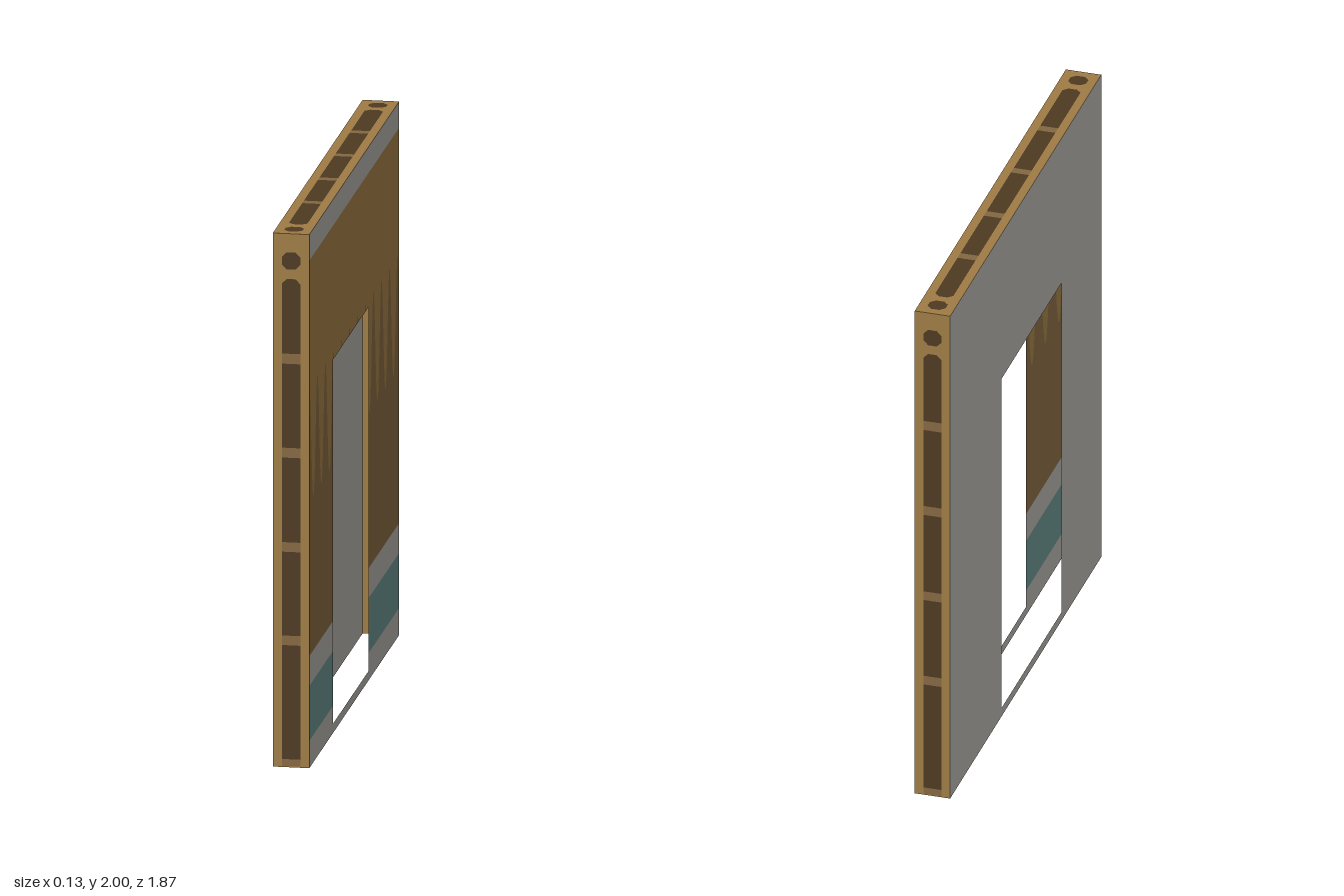
import * as THREE from 'three';

const HX = 0.067, HZ = 0.935, H = 2;          // half thickness, half width, height
const DOOR = { u0: -0.44, u1: 0.30, y0: 0.035, y1: 1.4 }; // u runs along -z
const SLOT = 0.034;                           // half width of the dark slots

function mat(name, color) {
  const m = new THREE.MeshStandardMaterial({ color, side: THREE.DoubleSide });
  m.name = name;
  return m;
}

function polygon(points) {
  return new THREE.Shape(points.map(([x, y]) => new THREE.Vector2(x, y)));
}

const rect = (x0, y0, x1, y1) => polygon([[x0, y0], [x1, y0], [x1, y1], [x0, y1]]);

// Slot outline with optional chamfers at its lower and upper ends
function slotShape(y0, y1, cutLow, cutHigh) {
  const a = cutLow ? 0.018 : 0, b = cutHigh ? 0.018 : 0, w = SLOT;
  const pts = [];
  if (a) pts.push([-w, y0 + a], [-w + a, y0], [w - a, y0], [w, y0 + a]);
  else pts.push([-w, y0], [w, y0]);
  if (b) pts.push([w, y1 - b], [w - b, y1], [-w + b, y1], [-w, y1 - b]);
  else pts.push([w, y1], [-w, y1]);
  return polygon(pts);
}

// Flat strip between two height functions, sampled along u
function strip(u0, u1, low, high, steps) {
  const pos = [], normal = [], index = [];
  for (let i = 0; i <= steps; i++) {
    const u = u0 + (u1 - u0) * i / steps;
    pos.push(u, low(u), 0, u, high(u), 0);
    normal.push(0, 0, 1, 0, 0, 1);
    if (i < steps) {
      const k = i * 2;
      index.push(k, k + 2, k + 3, k, k + 3, k + 1);
    }
  }
  const g = new THREE.BufferGeometry();
  g.setAttribute('position', new THREE.Float32BufferAttribute(pos, 3));
  g.setAttribute('normal', new THREE.Float32BufferAttribute(normal, 3));
  g.setIndex(index);
  return g;
}

export function createModel() {
  const gold = mat('goldWood', 0xa07d45);
  const brown = mat('brownWood', 0x856842);
  const grey = mat('greyPlaster', 0xb0ada7);
  const teal = mat('tealStripe', 0x678f8c);
  const dark = mat('darkSlot', 0x4f3a22);

  const model = new THREE.Group();
  model.name = 'doorwayWall';

  function add(parent, name, geometry, material) {
    const mesh = new THREE.Mesh(geometry, material);
    mesh.name = name;
    parent.add(mesh);
  }

  // Edge face: wooden frame with a row of dark slots, bars and round end holes
  function edgeFace(name, v0, v1, slots, rounds, barLow) {
    const group = new THREE.Group();
    group.name = name;
    const first = slots[0][0], last = slots[slots.length - 1][1];
    const channel = slotShape(barLow ?? first, last, barLow === undefined, true);
    const frame = rect(-HX, v0, HX, v1);
    frame.holes.push(channel);
    slots.forEach(([a, b], i) => {
      const low = i === 0 && barLow === undefined, high = i === slots.length - 1;
      add(group, 'slot', new THREE.ShapeGeometry(slotShape(a, b, low, high)), dark);
      const below = i ? slots[i - 1][1] : barLow;
      if (below !== undefined) add(group, 'bar', new THREE.ShapeGeometry(slotShape(below, a)), brown);
    });
    for (const c of rounds) {
      const hole = slotShape(c - 0.032, c + 0.032, true, true);
      frame.holes.push(hole);
      add(group, 'roundHole', new THREE.ShapeGeometry(hole), dark);
    }
    add(group, 'frame', new THREE.ShapeGeometry(frame), gold);
    model.add(group);
    return group;
  }

  // Front and back edges
  const endSlots = [[0.03, 0.457], [0.493, 0.807], [0.843, 1.16], [1.197, 1.512], [1.55, 1.83]];
  for (const side of [1, -1]) {
    const end = edgeFace(side > 0 ? 'frontEdge' : 'backEdge', 0, H, endSlots, [1.898], 0.004);
    end.position.z = side * HZ;
    if (side < 0) end.rotation.y = Math.PI;
  }

  // Top edge
  const topSlots = [[-0.803, -0.51], [-0.475, -0.183], [-0.148, 0.152], [0.187, 0.477], [0.513, 0.805]];
  const top = edgeFace('topEdge', -HZ, HZ, topSlots, [-0.87, 0.87]);
  top.rotation.x = -Math.PI / 2;
  top.position.y = H;

  // Plain panel with the doorway cut out; the wall is hollow and open below
  const plain = rect(-HZ, 0, HZ, H);
  plain.holes.push(rect(DOOR.u0, DOOR.y0, DOOR.u1, DOOR.y1));
  const plainPanel = new THREE.Group();
  plainPanel.name = 'plainPanel';
  add(plainPanel, 'plainFace', new THREE.ShapeGeometry(plain), grey);
  plainPanel.rotation.y = Math.PI / 2;
  plainPanel.position.x = -HX;
  model.add(plainPanel);

  // Painted panel, built from horizontal bands around the doorway
  const painted = new THREE.Group();
  painted.name = 'paintedPanel';
  painted.rotation.y = Math.PI / 2;
  painted.position.x = HX;
  model.add(painted);

  const level = (y) => () => y;
  const wave = (u) => {
    const c = (1 + Math.cos((u + 0.933) / 0.1667 * Math.PI * 2)) / 2;
    return 1 + 0.43 * Math.pow(c, 1.15);
  };
  const waveOverDoor = (u) => Math.max(wave(u), DOOR.y1);

  add(painted, 'topBand', strip(-HZ, HZ, level(1.902), level(H), 1), grey);
  add(painted, 'upperWoodOverDoor', strip(DOOR.u0, DOOR.u1, waveOverDoor, level(1.902), 140), gold);
  add(painted, 'waveTipsOverDoor', strip(DOOR.u0, DOOR.u1, level(DOOR.y1), waveOverDoor, 140), brown);
  add(painted, 'sill', strip(DOOR.u0, DOOR.u1, level(0), level(DOOR.y0), 1), grey);

  for (const [a, b] of [[-HZ, DOOR.u0], [DOOR.u1, HZ]]) {
    add(painted, 'upperWood', strip(a, b, wave, level(1.902), 90), gold);
    add(painted, 'lowerWood', strip(a, b, level(0.42), wave, 90), brown);
    add(painted, 'greyBand', strip(a, b, level(0.308), level(0.42), 1), grey);
    add(painted, 'tealBand', strip(a, b, level(0.102), level(0.308), 1), teal);
    add(painted, 'baseBand', strip(a, b, level(0), level(0.102), 1), grey);
  }

  return model;
}
